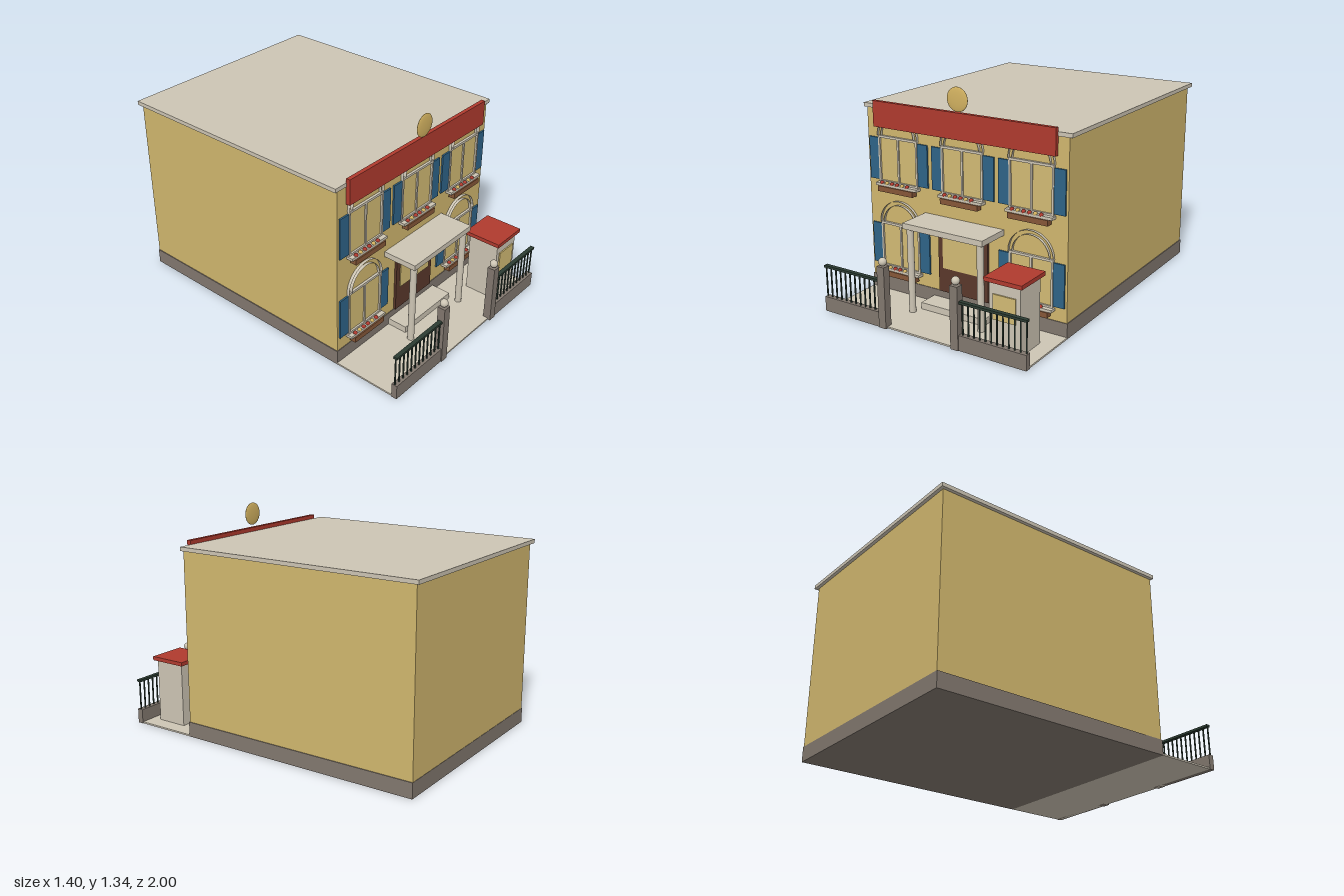
import * as THREE from 'three';

const mat = (name, color, side = THREE.FrontSide) => {
  const m = new THREE.MeshStandardMaterial({ color, side });
  m.name = name;
  return m;
};

export function createModel() {
  const house = new THREE.Group();
  house.name = 'townhouse';

  const wall = mat('ochre wall', 0xd1b76e);
  const cream = mat('cream stone', 0xcdc5b4, THREE.DoubleSide);
  const stone = mat('grey stone', 0x82786f);
  const red = mat('red paint', 0xb03a2e);
  const blue = mat('blue shutter', 0x2e6488);
  const doorBrown = mat('dark wood', 0x5a382b);
  const planterBrown = mat('planter wood', 0x865738);
  const green = mat('dark green iron', 0x2c3c32);
  const gold = mat('gold', 0xd4b361);
  const glass = mat('warm glass', 0xd2bb74);

  const add = (parent, name, geometry, material, x = 0, y = 0, z = 0) => {
    const mesh = new THREE.Mesh(geometry, material);
    mesh.name = name;
    mesh.position.set(x, y, z);
    parent.add(mesh);
    return mesh;
  };
  // Box given by its limits on each axis
  const box = (parent, name, material, x0, x1, y0, y1, z0, z1) =>
    add(parent, name, new THREE.BoxGeometry(x1 - x0, y1 - y0, z1 - z0), material,
      (x0 + x1) / 2, (y0 + y1) / 2, (z0 + z1) / 2);
  const group = (name, x = 0, y = 0, z = 0) => {
    const g = new THREE.Group();
    g.name = name;
    g.position.set(x, y, z);
    house.add(g);
    return g;
  };

  // Main block
  const FRONT = 0.56;
  box(house, 'walls', wall, -0.68, 0.68, 0.09, 1.14, -0.98, FRONT);
  box(house, 'foundation', stone, -0.685, 0.685, 0, 0.092, -0.982, FRONT + 0.004);
  box(house, 'roofSlab', cream, -0.7, 0.7, 1.138, 1.162, -1, 0.567);
  box(house, 'frontYard', cream, -0.685, 0.685, 0, 0.01, FRONT + 0.004, 0.982);

  // Sign board and roundel
  box(house, 'signBoard', red, -0.614, 0.614, 1.033, 1.187, 0.565, 0.59);
  const disc = add(house, 'roundel', new THREE.SphereGeometry(0.07, 32, 16), gold, 0, 1.266, 0.6);
  disc.scale.z = 0.13;

  // Windows with shutters, arch, sill and flower box; origin is at the sill top
  const flowerGeo = new THREE.SphereGeometry(0.013, 8, 6);
  const addWindow = (x, y) => {
    const w = group('window', x, y, FRONT);
    box(w, 'pane', glass, -0.13, 0.13, 0.012, 0.272, 0, 0.004);
    for (const s of [-1, 1]) {
      box(w, 'frameSide', cream, s * 0.136 - 0.006, s * 0.136 + 0.006, 0, 0.282, 0, 0.015);
      box(w, 'shutter', blue, s * 0.177 - 0.035, s * 0.177 + 0.035, 0.012, 0.267, 0, 0.01);
    }
    box(w, 'frameTop', cream, -0.142, 0.142, 0.27, 0.284, 0, 0.015);
    box(w, 'frameBottom', cream, -0.142, 0.142, 0, 0.012, 0, 0.015);
    box(w, 'mullion', cream, -0.006, 0.006, 0.01, 0.272, 0, 0.012);
    // Thin raised bands forming the arch over the window
    for (const r of [0.145, 0.12]) {
      const band = new THREE.CylinderGeometry(r, r, 0.018, 28, 1, true, Math.PI / 2, Math.PI);
      band.rotateX(Math.PI / 2);
      add(w, 'archBand', band, cream, 0, 0.282, 0.009);
    }
    box(w, 'sill', cream, -0.15, 0.15, -0.015, 0.001, 0, 0.042);
    box(w, 'flowerBox', planterBrown, -0.128, 0.128, -0.048, -0.015, 0.01, 0.05);
    for (let i = 0; i < 6; i++) {
      add(w, 'flower', flowerGeo, i % 3 === 1 ? gold : red, -0.108 + i * 0.037, 0.002, 0.032);
    }
  };
  for (const x of [-0.454, 0, 0.454]) addWindow(x, 0.697);
  for (const x of [-0.454, 0.454]) addWindow(x, 0.165);

  // Door, porch and step
  box(house, 'door', doorBrown, -0.172, 0.172, 0.095, 0.504, FRONT, 0.575);
  box(house, 'doorGlass', glass, -0.139, 0.139, 0.245, 0.47, 0.574, 0.58);
  box(house, 'porchRoof', cream, -0.272, 0.272, 0.522, 0.556, FRONT, 0.775);
  for (const s of [-1, 1]) {
    add(house, 'porchColumn', new THREE.CylinderGeometry(0.02, 0.02, 0.514, 20), cream,
      s * 0.24, 0.266, 0.745);
  }
  box(house, 'doorStep', cream, -0.22, 0.22, 0.008, 0.05, FRONT, 0.69);

  // Gate posts
  const FENCE = 0.973;
  for (const x of [-0.257, 0.238]) {
    box(house, 'gatePost', stone, x - 0.025, x + 0.025, 0, 0.368, FENCE - 0.024, FENCE + 0.024);
    add(house, 'gatePostBall', new THREE.SphereGeometry(0.024, 20, 14), cream, x, 0.393, FENCE);
  }

  // Low walls with railings
  for (const [x0, x1, b0, b1] of [[-0.688, -0.28, -0.682, -0.289], [0.262, 0.688, 0.28, 0.679]]) {
    box(house, 'lowWall', stone, x0, x1, 0, 0.09, FENCE - 0.018, FENCE + 0.018);
    box(house, 'topRail', green, x0, x1, 0.269, 0.283, FENCE - 0.013, FENCE + 0.013);
    const n = 12;
    for (let i = 0; i < n; i++) {
      add(house, 'railingBar', new THREE.CylinderGeometry(0.005, 0.005, 0.185, 8), green,
        b0 + (b1 - b0) * i / (n - 1), 0.18, FENCE);
    }
  }

  // Kiosk in the yard
  const kiosk = group('kiosk');
  box(kiosk, 'kioskBody', cream, 0.397, 0.592, 0.008, 0.402, 0.698, 0.895);
  box(kiosk, 'kioskRoof', red, 0.375, 0.612, 0.402, 0.426, 0.678, 0.915);
  box(kiosk, 'kioskWindow', glass, 0.423, 0.566, 0.19, 0.335, 0.894, 0.903);

  return house;
}
